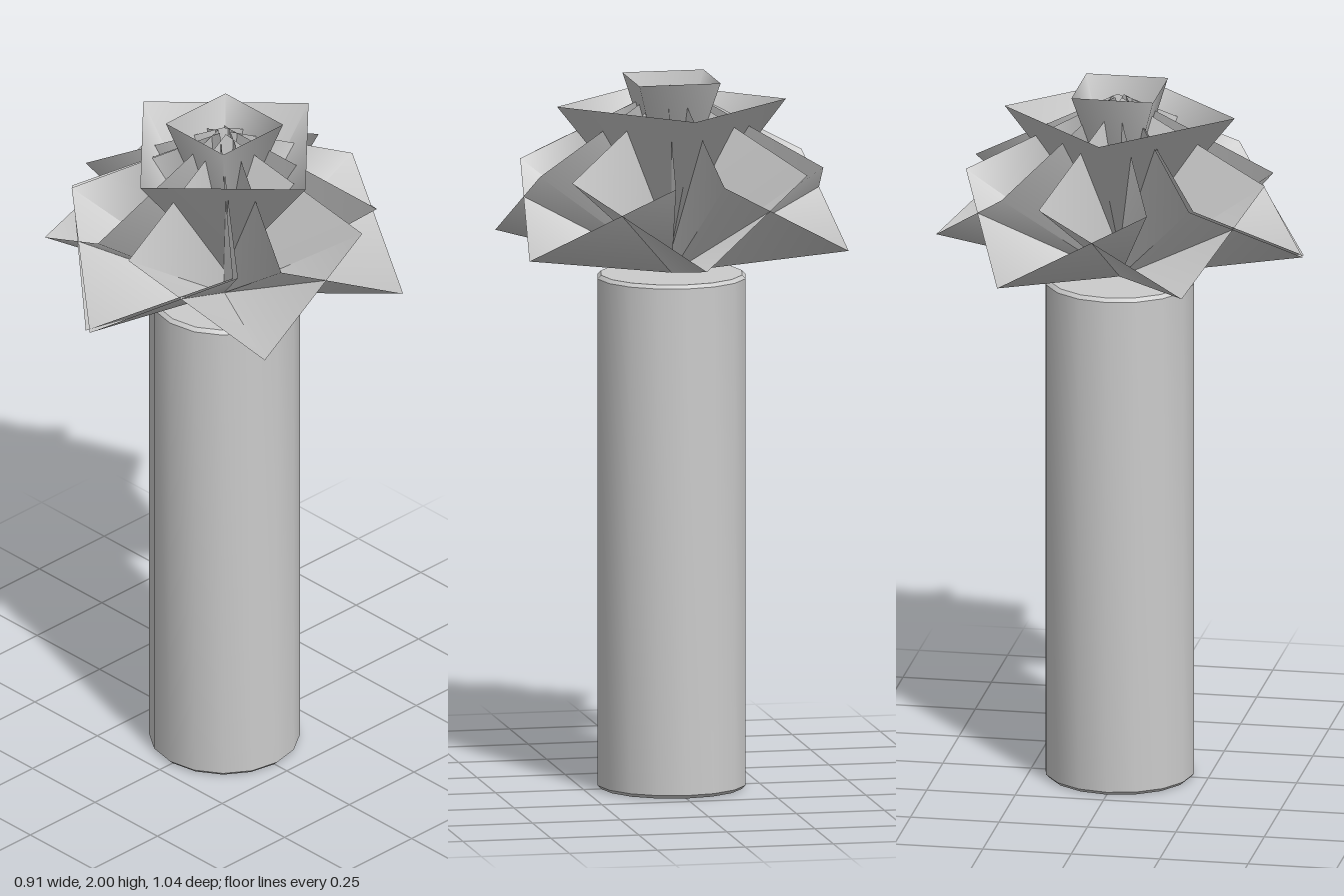
import * as THREE from 'three';
import { toCreasedNormals } from 'three/addons/utils/BufferGeometryUtils.js';

const solid = new THREE.MeshStandardMaterial({ color: 0xcccccc });
const thin = new THREE.MeshStandardMaterial({ color: 0xcccccc, side: THREE.DoubleSide });

// Open four-sided cone standing on its point at the origin
function cupGeometry(radius, height) {
  return new THREE.ConeGeometry(radius, height, 4, 1, true)
    .rotateX(Math.PI)
    .translate(0, height / 2, 0);
}

function addMesh(parent, name, geometry, material, y = 0) {
  const mesh = new THREE.Mesh(geometry, material);
  mesh.name = name;
  mesh.position.y = y;
  parent.add(mesh);
  return mesh;
}

export function createModel() {
  const model = new THREE.Group();
  model.name = 'flower';

  // Round stem with a narrow bevel at both ends
  const profile = [[0, 0], [0.2, 0], [0.21, 0.01], [0.21, 1.44], [0.2, 1.45], [0, 1.45]]
    .map(([r, y]) => new THREE.Vector2(r, y));
  addMesh(model, 'stem', toCreasedNormals(new THREE.LatheGeometry(profile, 16), 0.6), solid);

  // Ring of outward-tilted petals; the last one almost covers the first
  const petals = new THREE.Group();
  petals.name = 'petals';
  const petalGeometry = cupGeometry(0.333, 0.41).rotateX(THREE.MathUtils.degToRad(41));
  for (let i = 0; i < 7; i++) {
    const petal = addMesh(petals, 'petal', petalGeometry, thin, 1.45);
    petal.rotation.y = -i * THREE.MathUtils.degToRad(60.3);
  }
  model.add(petals);

  // Upright cups in the middle, the small one turned by an eighth
  addMesh(model, 'innerCup', cupGeometry(0.325, 0.41), thin, 1.52);
  const heart = addMesh(model, 'centreCup', cupGeometry(0.163, 0.41), thin, 1.59);
  heart.rotation.y = Math.PI / 4;

  return model;
}
